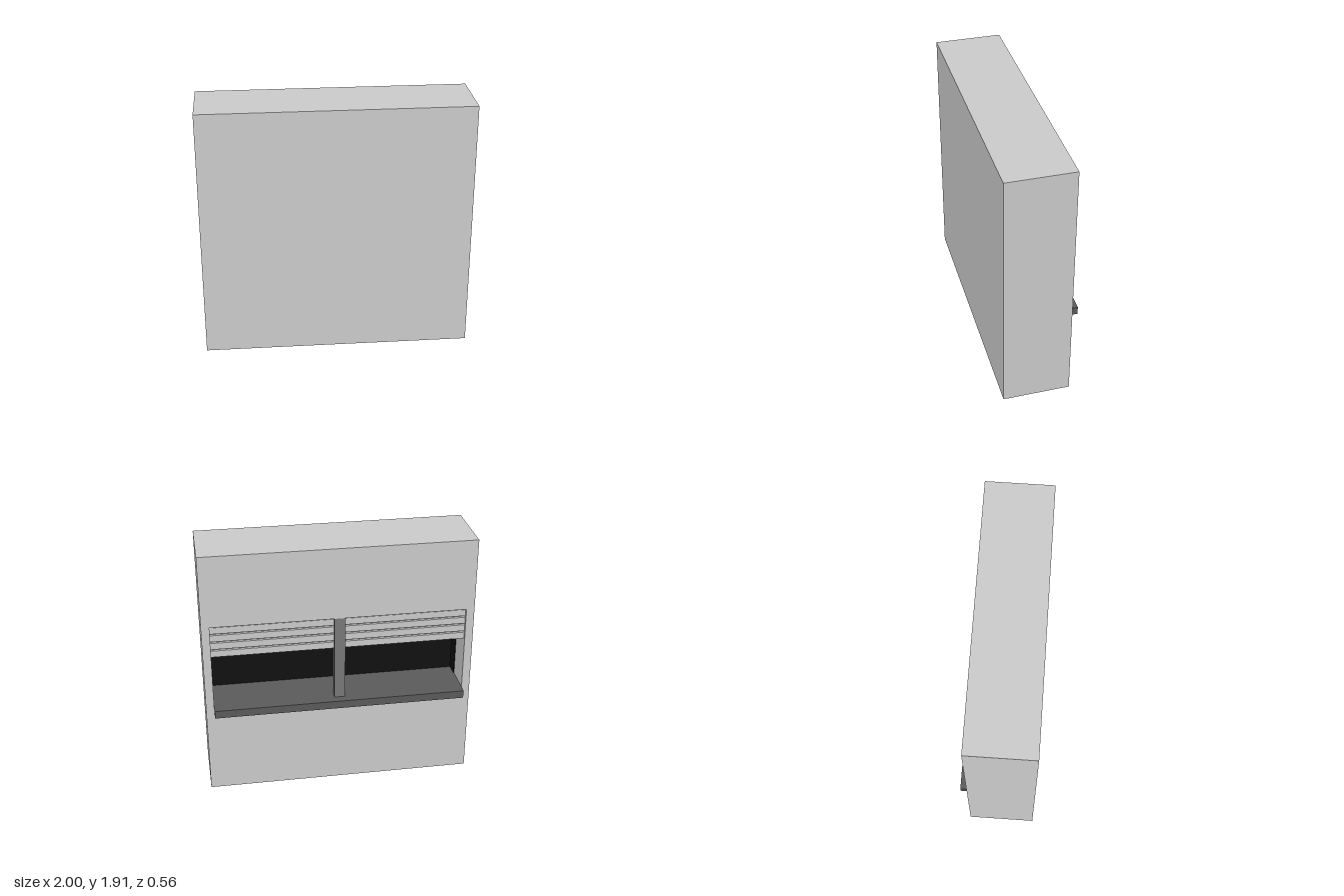
import * as THREE from 'three';

const mat = (color) => new THREE.MeshStandardMaterial({ color });
const wallMat = mat(0xcccccc);
const slatMat = mat(0xffffff);
const sillMat = mat(0x5b5b5b);
const postMat = mat(0x787878);
const darkMat = mat(0x101010);

// Box given by its minimum and maximum along each axis
function block(name, [x0, x1], [y0, y1], [z0, z1], material) {
  const mesh = new THREE.Mesh(new THREE.BoxGeometry(x1 - x0, y1 - y0, z1 - z0), material);
  mesh.position.set((x0 + x1) / 2, (y0 + y1) / 2, (z0 + z1) / 2);
  mesh.name = name;
  return mesh;
}

function rectangle(PathType, x, y0, y1) {
  return new PathType([[-x, y0], [x, y0], [x, y1], [-x, y1]].map(([a, b]) => new THREE.Vector2(a, b)));
}

export function createModel() {
  const model = new THREE.Group();
  model.name = 'wallWithShutteredWindow';

  const height = 1.91, half = 0.94, bottom = 0.65, sillTop = 0.71, top = 1.367;
  const back = -0.22, recessEnd = 0.11, front = 0.28;

  // Wall with the window recess, closed at the front
  const outline = rectangle(THREE.Shape, 1, 0, height);
  outline.holes.push(rectangle(THREE.Path, half, bottom, top));
  const wall = new THREE.Mesh(
    new THREE.ExtrudeGeometry(outline, { depth: recessEnd - back, bevelEnabled: false }), wallMat);
  wall.position.z = back;
  wall.name = 'wall';
  model.add(wall);
  model.add(block('closedFront', [-1, 1], [0, height], [recessEnd, front], wallMat));

  // Dark lining at the inner end of the recess
  const lining = new THREE.Group();
  lining.name = 'darkLining';
  lining.add(block('liningPanel', [-half, half], [sillTop, top], [0.105, recessEnd], darkMat));
  lining.add(block('liningTop', [-half, half], [top - 0.005, top], [0, 0.105], darkMat));
  for (const s of [-1, 1]) {
    const side = block('liningSide', [half - 0.005, half], [sillTop, top - 0.005], [0, 0.105], darkMat);
    side.position.x *= s;
    lining.add(side);
  }
  model.add(lining);

  // Deep sill that juts out of the wall
  model.add(block('sill', [-half, half], [bottom, sillTop], [-0.28, recessEnd], sillMat));

  // Central post
  model.add(block('post', [-0.04, 0.04], [sillTop, top], [back + 0.005, -0.14], postMat));

  // Half-lowered slatted shutters on both sides of the post
  const slats = 4, pitch = 0.062, gap = 0.012;
  for (const s of [-1, 1]) {
    const shutter = new THREE.Group();
    shutter.name = s > 0 ? 'leftShutter' : 'rightShutter';
    const x = s > 0 ? [0.04, half] : [-half, -0.04];
    shutter.add(block('shutterBacking', x, [top - slats * pitch + gap, top], [-0.18, -0.165], slatMat));
    for (let i = 0; i < slats; i++) {
      const y = top - i * pitch;
      shutter.add(block('slat', x, [y - pitch, y - gap], [-0.2, -0.155], slatMat));
    }
    model.add(shutter);
  }
  return model;
}
